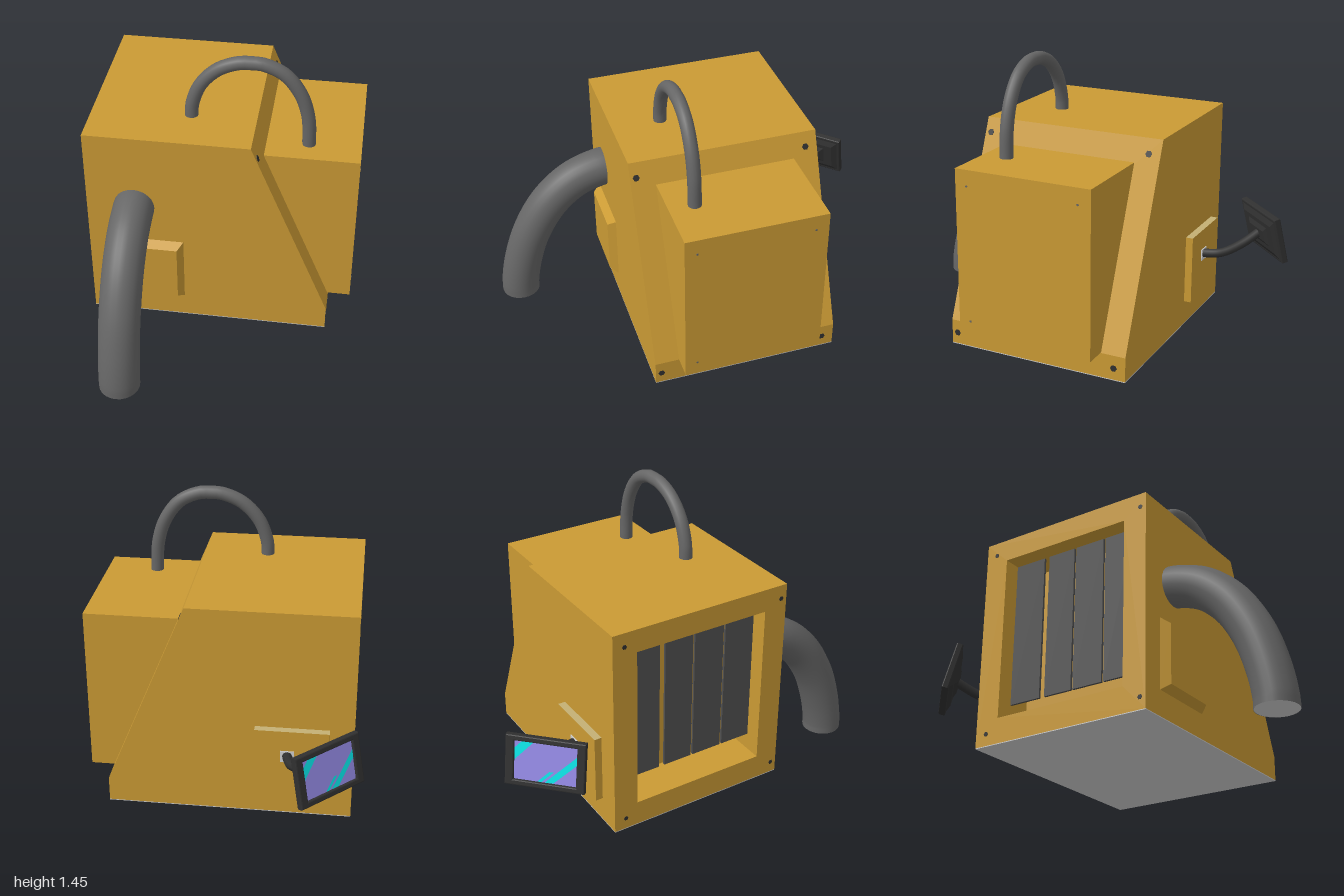
import * as THREE from 'three';

const mat = (name, color, side = THREE.FrontSide) => {
  const m = new THREE.MeshStandardMaterial({ color, side });
  m.name = name;
  return m;
};

export function createModel() {
  const ochre = mat('ochre', 0xca9a34);
  const tan = mat('tan', 0xc4b074);
  const grey = mat('hose grey', 0x666666, THREE.DoubleSide);
  const slatGrey = mat('slat grey', 0x505050);
  const dark = mat('charcoal', 0x303030);
  const light = mat('light grey', 0xd0d0d0);
  const violet = mat('screen violet', 0x9389e4);
  const teal = mat('screen teal', 0x08e4e6, THREE.DoubleSide);

  const model = new THREE.Group();
  model.name = 'ventilationUnit';

  const add = (name, geometry, material, parent = model) => {
    const mesh = new THREE.Mesh(geometry, material);
    mesh.name = name;
    parent.add(mesh);
    return mesh;
  };
  // Box given by its minimum and maximum corners
  const box = (name, a, b, material, parent) => {
    const g = new THREE.BoxGeometry(b[0] - a[0], b[1] - a[1], b[2] - a[2]);
    g.translate((a[0] + b[0]) / 2, (a[1] + b[1]) / 2, (a[2] + b[2]) / 2);
    return add(name, g, material, parent);
  };
  // Box whose face at +z (end = 1) or -z (end = -1) is smaller
  const frustum = (w, h, d, inset, end = 1) => {
    const g = new THREE.BoxGeometry(w, h, d);
    const p = g.attributes.position;
    for (let i = 0; i < p.count; i++) {
      if (p.getZ(i) * end > 0) {
        p.setX(i, p.getX(i) - Math.sign(p.getX(i)) * inset);
        p.setY(i, p.getY(i) - Math.sign(p.getY(i)) * inset);
      }
    }
    g.computeVertexNormals();
    return g;
  };
  const vectors = (pts) => pts.map((p) => new THREE.Vector2(...p));
  const shape = (pts, hole) => {
    const s = new THREE.Shape(vectors(pts));
    if (hole) s.holes.push(new THREE.Path(vectors(hole)));
    return s;
  };
  const rect = (x0, y0, x1, y1) => [[x0, y0], [x1, y0], [x1, y1], [x0, y1]];
  const tube = (pts, radius, sides) => new THREE.TubeGeometry(
    new THREE.CatmullRomCurve3(pts.map((p) => new THREE.Vector3(...p))), 40, radius, sides);

  // Main housing with a sloping side
  const recessX = -0.42, zBack = -0.545, zFront = 0.4;
  const housing = new THREE.ExtrudeGeometry(
    shape([[recessX, 0.034], [0.567, 0.034], [0.567, 0.157], [0.175, 1.105], [recessX, 1.105]]),
    { depth: zFront - zBack, bevelEnabled: false });
  housing.translate(0, 0, zBack);
  add('housing', housing, ochre);

  // Frame around the open side
  const frame = new THREE.ExtrudeGeometry(
    shape(rect(-zFront, 0.034, -zBack, 1.105), rect(-0.28, 0.16, 0.42, 0.99)),
    { depth: recessX + 0.625, bevelEnabled: false });
  frame.rotateY(Math.PI / 2);
  frame.translate(-0.625, 0, 0);
  add('openingFrame', frame, ochre);
  box('underside', [-0.625, 0.03, zBack], [0.567, 0.034, zFront], light);

  // Upright slats in the opening
  for (const [z0, z1] of [[-0.418, -0.248], [-0.218, -0.066], [-0.055, 0.106], [0.117, 0.278]]) {
    box('slat', [-0.542, 0.25, z0], [-0.53, 0.988, z1], slatGrey);
  }

  // Box projecting from the slope, with a light underside
  box('sideBox', [0.15, 0.16, -0.42], [0.68, 0.99, 0.28],
    [ochre, ochre, ochre, light, ochre, ochre]);

  // Screws, nearly flush
  const screw = (x, y, z, tilt, r, material) => {
    const g = new THREE.CylinderGeometry(r, r, 0.004, 6);
    g.rotateZ(Math.PI / 2);
    const m = add('screw', g, material);
    m.position.set(x, y, z);
    m.rotation.z = tilt;
  };
  for (const z of [0.37, -0.485]) {
    screw(0.204, 1.035, z, 0.39, 0.017, dark);
    screw(0.567, 0.092, z, 0, 0.017, dark);
    for (const y of [1.035, 0.092]) screw(-0.625, y, z, 0, 0.012, dark);
  }
  for (const [y, z] of [[0.91, 0.22], [0.91, -0.355], [0.23, 0.22]]) {
    screw(0.68, y, z, 0, 0.006, grey);
  }

  // Bevelled plate on the front, flat plate on the back
  add('frontPlate', frustum(0.357, 0.35, 0.04, 0.028), ochre).position.set(-0.331, 0.333, 0.42);
  box('backPlate', [-0.51, 0.16, -0.582], [-0.155, 0.51, -0.54],
    [ochre, ochre, tan, ochre, ochre, ochre]);

  // Thick hose curving down to the ground, with its end cap
  add('hose', tube([[-0.39, 0.71, 0.36], [-0.39, 0.707, 0.42], [-0.39, 0.66, 0.56],
    [-0.39, 0.55, 0.695], [-0.39, 0.38, 0.805], [-0.39, 0.19, 0.872],
    [-0.39, 0.04, 0.9], [-0.39, 0, 0.9]], 0.1, 24), grey);
  const cap = new THREE.CircleGeometry(0.099, 24);
  cap.rotateX(Math.PI / 2);
  add('hoseEnd', cap, light).position.set(-0.39, 0.001, 0.9);

  // Hooped pipe on top
  add('topPipe', tube([[-0.142, 1.09], [-0.137, 1.17], [-0.094, 1.283], [-0.01, 1.37],
    [0.09, 1.411], [0.145, 1.414], [0.2, 1.411], [0.3, 1.365], [0.377, 1.265],
    [0.417, 1.14], [0.427, 0.98]].map(([x, y]) => [x, y, 0.152]), 0.033, 16), grey);

  // Arm and its mount
  box('armMount', [-0.345, 0.345, -0.587], [-0.28, 0.405, -0.58], light);
  add('arm', tube([[-0.31, 0.378, -0.57], [-0.33, 0.383, -0.65], [-0.355, 0.392, -0.69],
    [-0.42, 0.425, -0.755], [-0.51, 0.485, -0.83]], 0.024, 8), dark);

  // Tilted screen: bevelled rim, backing and recessed display
  const screen = new THREE.Group();
  screen.name = 'screen';
  screen.rotation.order = 'YXZ';
  screen.rotation.set(-0.24, -Math.PI * 0.75, 0);
  screen.position.set(-0.517, 0.484, -0.838);
  model.add(screen);
  const rim = new THREE.ExtrudeGeometry(
    shape(rect(-0.183, -0.116, 0.183, 0.116), rect(-0.154, -0.1, 0.154, 0.1)),
    { depth: 0.023, bevelThickness: 0.006, bevelSize: 0.006, bevelSegments: 2 });
  rim.translate(0, 0, -0.011);
  add('screenRim', rim, dark, screen);
  box('screenCore', [-0.16, -0.105, -0.0165], [0.16, 0.105, 0.002], dark, screen);
  add('screenBack', frustum(0.35, 0.215, 0.014, 0.03, -1), dark, screen).position.z = -0.023;
  add('screenHub', frustum(0.2, 0.11, 0.014, 0.025, -1), dark, screen).position.z = -0.036;
  box('display', [-0.149, -0.095, 0.001], [0.149, 0.095, 0.005], violet, screen);
  const glints = [
    [[-0.147, 0.0], [-0.06, 0.092], [-0.115, 0.092], [-0.147, 0.058]],
    [[0.04, -0.092], [0.147, 0.01], [0.147, 0.05], [0.0, -0.092]],
    [[-0.035, -0.092], [-0.015, -0.092], [0.04, -0.038], [0.02, -0.038]],
  ];
  for (const g of glints) {
    add('displayGlint', new THREE.ShapeGeometry(shape(g)), teal, screen).position.z = 0.0075;
  }

  return model;
}
